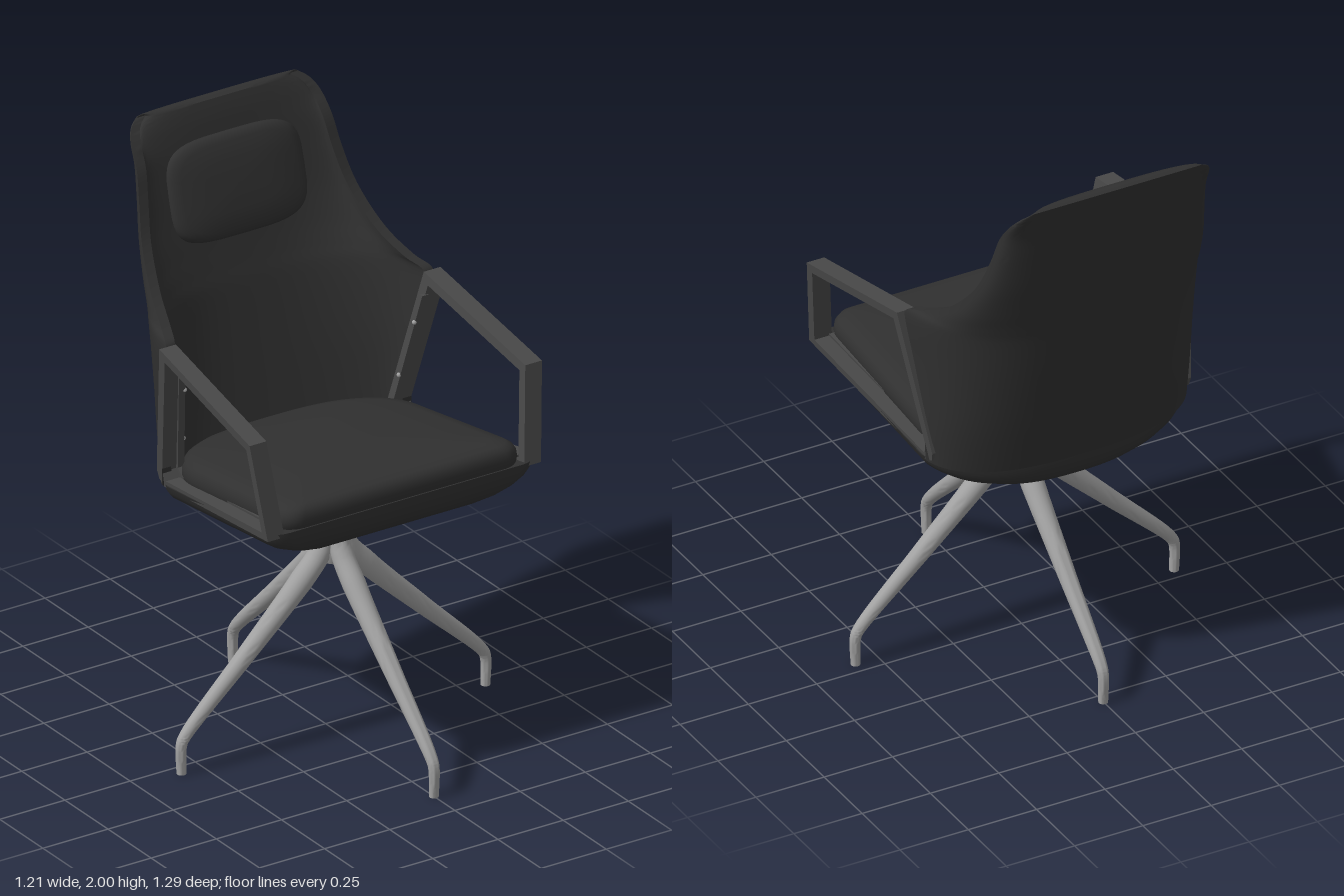
import * as THREE from 'three';
import { toCreasedNormals } from 'three/addons/utils/BufferGeometryUtils.js';

const shellMat = new THREE.MeshStandardMaterial({ color: 0x303030 });
shellMat.name = 'charcoal upholstery';
const armMat = new THREE.MeshStandardMaterial({ color: 0x484848 });
armMat.name = 'dark grey frame';
const metalMat = new THREE.MeshStandardMaterial({ color: 0xa0a0a0 });
metalMat.name = 'grey metal';

const V = (x, y, z) => new THREE.Vector3(x, y, z);
const TILT = 0.15;
const seatY = (z) => 0.923 + TILT * z;

function addMesh(group, name, geometry, material) {
  const mesh = new THREE.Mesh(geometry, material);
  mesh.name = name;
  group.add(mesh);
  return mesh;
}

// Skin closed rings of equal length, running upwards
function loft(rings, crease = 0.8) {
  const n = rings[0].length, index = [];
  for (let k = 0; k < rings.length - 1; k++) {
    for (let i = 0; i < n; i++) {
      const j = (i + 1) % n, a = k * n + i, b = a + n, c = k * n + j, d = c + n;
      index.push(a, b, c, c, b, d);
    }
  }
  const g = new THREE.BufferGeometry().setFromPoints(rings.flat());
  g.setIndex(index);
  return toCreasedNormals(g, crease);
}

// One point of a rounded, splayed back curve: side factor and forward factor
function backCurve(u, p, splay) {
  const a = (u * Math.PI) / 2;
  const f = 1 - Math.max(Math.cos(a), 0) ** p;
  return [Math.sign(a) * Math.abs(Math.sin(a)) ** p * (1 - splay * (1 - f)), f];
}

// Seat outline: rounded back, straight sides, rounded front corners
function seatPlan({ zb, ze, xe, xf, zf, r, p, splay }) {
  const half = [];
  for (let i = 0; i <= 18; i++) {
    const [s, f] = backCurve(i / 18, p, splay);
    half.push([xe * s, zb + (ze - zb) * f]);
  }
  for (let i = 1; i < 6; i++) {
    const t = i / 6;
    half.push([xe + (xf - xe) * t, ze + (zf - r - ze) * t]);
  }
  for (let i = 0; i <= 7; i++) {
    const a = (i / 7) * Math.PI / 2;
    half.push([xf - r + r * Math.cos(a), zf - r + r * Math.sin(a)]);
  }
  half.push([(xf - r) / 2, zf], [0, zf]);
  return half.concat(half.slice(1, -1).reverse().map(([x, z]) => [-x, z]));
}

// Tilted seat ring, scaled about the seat centre
const seatRing = (plan, sx, sz, h) => plan.map(([x, z]) => {
  const zz = 0.04 + (z - 0.04) * sz;
  return V(x * sx, seatY(zz) + h, zz);
});

function backGeometry() {
  // front edge of the wrap-around back, and height of its spine
  const edge = new THREE.CatmullRomCurve3([
    V(0.476, 0.887, -0.225), V(0.484, 1.05, -0.222), V(0.5, 1.25, -0.185), V(0.513, 1.42, -0.15),
    V(0.485, 1.453, -0.22), V(0.45, 1.515, -0.33), V(0.413, 1.635, -0.44), V(0.388, 1.76, -0.495),
    V(0.374, 1.86, -0.53), V(0.362, 1.93, -0.58), V(0.342, 1.965, -0.61), V(0.31, 1.987, -0.63)]);
  const spine = new THREE.CatmullRomCurve3(
    [0.862, 1.04, 1.23, 1.41, 1.46, 1.53, 1.64, 1.77, 1.87, 1.94, 1.972, 1.994]
      .map((y) => V(0, y, -0.642 + (2 - y) * 0.212)));
  const rings = [], m = 36, steps = 55;
  for (let k = 0; k <= steps; k++) {
    const v = k / steps, e = edge.getPoint(v), c = spine.getPoint(v);
    const p = 0.78 - 0.16 * v, splay = 0.14 * (1 - v), ring = [];
    const thick = 0.085 - 0.045 * v;
    for (const [inset, t, dir] of [[0, 0, 1], [0.035, thick, -1]]) {
      for (let i = 0; i <= m; i++) {
        const [s, f] = backCurve(dir * (2 * i / m - 1), p, splay);
        const z0 = c.z + t;
        ring.push(V((e.x - inset) * s, c.y + (e.y - c.y) * f, z0 + (e.z - z0) * f));
      }
    }
    rings.push(ring);
  }
  // close the top along the middle of the rim
  const top = rings[steps];
  for (const [mix, lift] of [[0.2, 0.004], [0.5, 0.006]]) {
    rings.push(top.map((q, i) => q.clone().lerp(top[top.length - 1 - i], mix).add(V(0, lift, 0))));
  }
  return loft(rings, 0.7);
}

// Centre of the arm plane: leans outwards with height and towards the front
const armX = (y, z) => 0.4915 + 0.12 * (y - 0.99) + 0.062 * (z - 0.43);

// Extrude an outline given as [z, y] across x, then lean it outwards
function armPlate(outline, holes, width, side, inset) {
  const toPoints = (list) => list.map(([z, y]) => new THREE.Vector2(-z, y));
  const shape = new THREE.Shape(toPoints(outline));
  shape.holes = holes.map((hole) => new THREE.Path(toPoints(hole).reverse()));
  const g = new THREE.ExtrudeGeometry(shape, { depth: width, bevelEnabled: false });
  g.translate(0, 0, -width / 2).rotateY(Math.PI / 2);
  const pos = g.attributes.position;
  for (let i = 0; i < pos.count; i++) {
    pos.setX(i, pos.getX(i) + side * (armX(pos.getY(i), pos.getZ(i)) - inset));
  }
  g.computeVertexNormals();
  return g;
}

// Leg swept from the foot, round the knee and up into the neck
function legGeometry() {
  const path = new THREE.CatmullRomCurve3([
    V(0.583, 0, 0), V(0.583, 0.1, 0), V(0.57, 0.128, 0), V(0.34, 0.352, 0),
    V(0.12, 0.567, 0), V(0.05, 0.65, 0), V(0.022, 0.745, 0)]);
  const radii = [0.016, 0.0185, 0.02, 0.03, 0.039, 0.037, 0.027];
  const rings = [], steps = 60, side = V(0, 0, 1);
  for (let k = 0; k <= steps; k++) {
    const t = k / steps, s = t * (radii.length - 1), i = Math.min(Math.floor(s), radii.length - 2);
    const r = THREE.MathUtils.lerp(radii[i], radii[i + 1], s - i);
    const c = path.getPoint(t), out = path.getTangent(t).cross(side);
    rings.push(Array.from({ length: 20 }, (_, j) => {
      const a = (j / 20) * Math.PI * 2;
      return c.clone().addScaledVector(out, r * Math.cos(a)).addScaledVector(side, r * Math.sin(a));
    }));
  }
  rings.unshift(rings[0].map(() => V(0.583, 0, 0)));
  return loft(rings);
}

export function createModel() {
  const chair = new THREE.Group();
  chair.name = 'swivelArmchair';

  // Seat pan
  const pan = seatPlan({ zb: -0.401, ze: -0.2, xe: 0.478, xf: 0.514, zf: 0.468, r: 0.07, p: 0.78, splay: 0.14 });
  addMesh(chair, 'seatPan', loft([
    [0, 0, -0.13], [0.25, 0.5, -0.13], [0.47, 0.74, -0.122], [0.65, 0.87, -0.108], [0.78, 0.93, -0.09],
    [0.88, 0.967, -0.068], [0.95, 0.988, -0.044], [0.985, 0.998, -0.021], [1, 1, 0.003], [0, 0, 0.003],
  ].map((r) => seatRing(pan, ...r))), shellMat);

  // Seat cushion
  const pad = seatPlan({ zb: -0.376, ze: -0.06, xe: 0.441, xf: 0.458, zf: 0.467, r: 0.07, p: 0.78, splay: 0 });
  addMesh(chair, 'seatCushion', loft([
    [0.97, 0.97, -0.01], [0.995, 0.995, 0.01], [1, 1, 0.03], [0.995, 0.995, 0.05], [0.975, 0.975, 0.068],
    [0.94, 0.94, 0.08], [0.85, 0.85, 0.09], [0.5, 0.5, 0.1], [0, 0, 0.104],
  ].map((r) => seatRing(pad, ...r))), shellMat);

  // Wrap-around back
  addMesh(chair, 'backShell', backGeometry(), shellMat);

  // Head pillow
  const pillow = loft([[0.98, -0.03], [1, 0], [0.985, 0.012], [0.94, 0.022], [0.84, 0.029], [0.5, 0.036], [0, 0.038]]
    .map(([s, h]) => Array.from({ length: 48 }, (_, i) => {
      const a = (i / 48) * Math.PI * 2, c = Math.cos(a), d = Math.sin(a);
      return V(0.26 * s * Math.sign(c) * Math.abs(c) ** 0.5, h, 0.172 * s * Math.sign(d) * Math.abs(d) ** 0.5);
    })));
  const head = addMesh(chair, 'headPillow', pillow, shellMat);
  head.rotation.x = Math.PI / 2 - 0.27;
  head.position.set(0, 1.722, -0.522);

  // Armrests with inner mounting strips and screws
  for (const side of [-1, 1]) {
    const arm = new THREE.Group();
    arm.name = side > 0 ? 'leftArmrest' : 'rightArmrest';
    chair.add(arm);
    addMesh(arm, 'armFrame', armPlate(
      [[0.457, 0.98], [0.407, 1.312], [-0.15, 1.422], [-0.264, 0.93], [-0.255, 0.9], [-0.225, 0.882]],
      [[[0.422, 1.0], [0.38, 1.285], [-0.122, 1.385], [-0.228, 0.935], [-0.21, 0.908]]],
      0.064, side, 0), armMat);
    addMesh(arm, 'mountingStrip', armPlate(
      [[0.42, 1.0], [0.42, 1.008], [-0.195, 0.917], [-0.217, 0.94], [-0.126, 1.35], [-0.14, 1.35], [-0.235, 0.935], [-0.21, 0.905]],
      [], 0.025, side, 0.034), armMat);
    for (const [z, y] of [[-0.152, 1.25], [-0.2, 1.05], [0.08, 0.95], [0.3, 0.983]]) {
      const screw = addMesh(arm, 'screw', new THREE.SphereGeometry(0.008, 10, 8), metalMat);
      screw.position.set(side * (armX(y, z) - 0.046), y, z);
    }
  }

  // Pedestal: plate, collar and four legs
  const base = new THREE.Group();
  base.name = 'pedestal';
  base.position.z = 0.045;
  chair.add(base);
  const plate = addMesh(base, 'mountingPlate', new THREE.CylinderGeometry(0.205, 0.2, 0.018, 40), metalMat);
  plate.position.y = 0.789;
  plate.rotation.x = -0.148;
  addMesh(base, 'hub', toCreasedNormals(new THREE.LatheGeometry([
    [0, 0.595], [0.035, 0.605], [0.05, 0.64], [0.048, 0.735], [0.058, 0.738], [0.058, 0.785], [0, 0.785],
  ].map(([r, y]) => new THREE.Vector2(r, y)), 32), 0.7), metalMat);
  const legShape = legGeometry();
  for (let i = 0; i < 4; i++) {
    addMesh(base, 'leg', legShape, metalMat).rotation.y = (i * Math.PI) / 2;
  }
  return chair;
}
